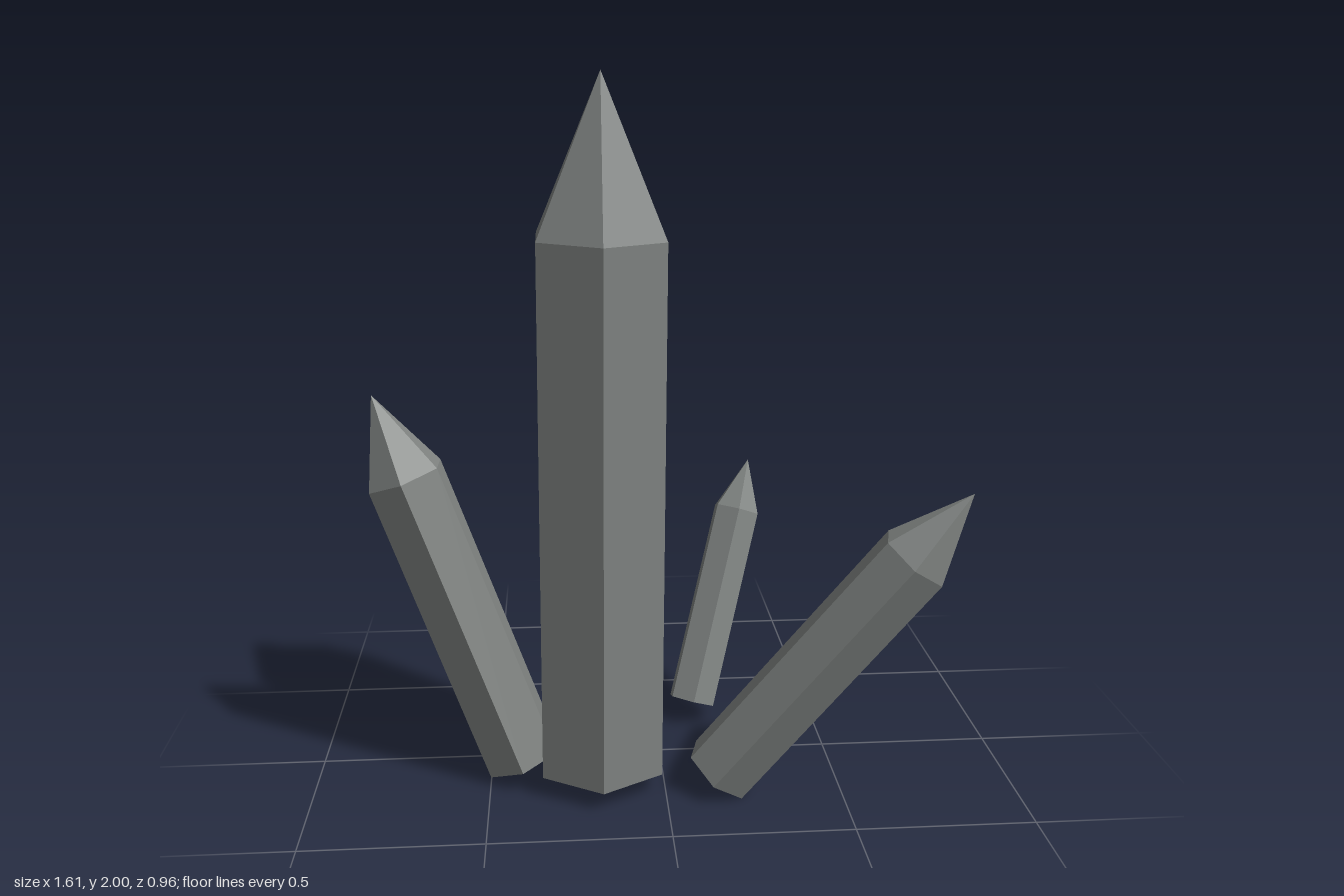
import * as THREE from 'three';

const stone = new THREE.MeshStandardMaterial({ color: 0x808482, flatShading: true });
stone.name = 'grey crystal';

// Six-sided crystal: base and shoulder are the centres of the prism's ends,
// radius reaches the corners, corner is the direction of one edge from the axis.
function crystal(name, { base, shoulder, tipHeight, radius, corner }) {
  const start = new THREE.Vector3(...base);
  const axis = new THREE.Vector3(...shoulder).sub(start);
  const length = axis.length();
  axis.normalize();

  const group = new THREE.Group();
  group.name = name;

  // Prism shaft, closed at both ends
  const shaft = new THREE.Mesh(new THREE.CylinderGeometry(radius, radius, length, 6), stone);
  shaft.name = name + 'Shaft';
  shaft.position.y = length / 2;

  // Pointed tip
  const tip = new THREE.Mesh(new THREE.ConeGeometry(radius, tipHeight, 6, 1, true), stone);
  tip.name = name + 'Tip';
  tip.position.y = length + tipHeight / 2;
  group.add(shaft, tip);

  // Lean along the axis, with one corner turned to the given direction
  const edge = new THREE.Vector3(...corner).projectOnPlane(axis).normalize();
  const side = new THREE.Vector3().crossVectors(axis, edge);
  group.quaternion.setFromRotationMatrix(new THREE.Matrix4().makeBasis(side, axis, edge));
  group.position.copy(start);
  return group;
}

export function createModel() {
  const model = new THREE.Group();
  model.name = 'crystalCluster';
  model.add(
    crystal('mainCrystal', {
      base: [-0.18, 0.062, 0.165], shoulder: [-0.169, 1.578, 0.215],
      tipHeight: 0.422, radius: 0.195, corner: [0, 0, 1],
    }),
    crystal('rightCrystal', {
      base: [-0.405, 0.057, 0.125], shoulder: [-0.715, 0.905, 0.086],
      tipHeight: 0.245, radius: 0.115, corner: [0.015, 0, 1],
    }),
    crystal('leftCrystal', {
      base: [0.153, 0.057, 0.242], shoulder: [0.661, 0.729, 0.372],
      tipHeight: 0.239, radius: 0.107, corner: [-0.243, 0, 0.97],
    }),
    crystal('backCrystal', {
      base: [0.119, 0.061, -0.21], shoulder: [0.28, 0.628, -0.412],
      tipHeight: 0.166, radius: 0.076, corner: [0, 0.024, 0.072],
    }),
  );
  return model;
}
